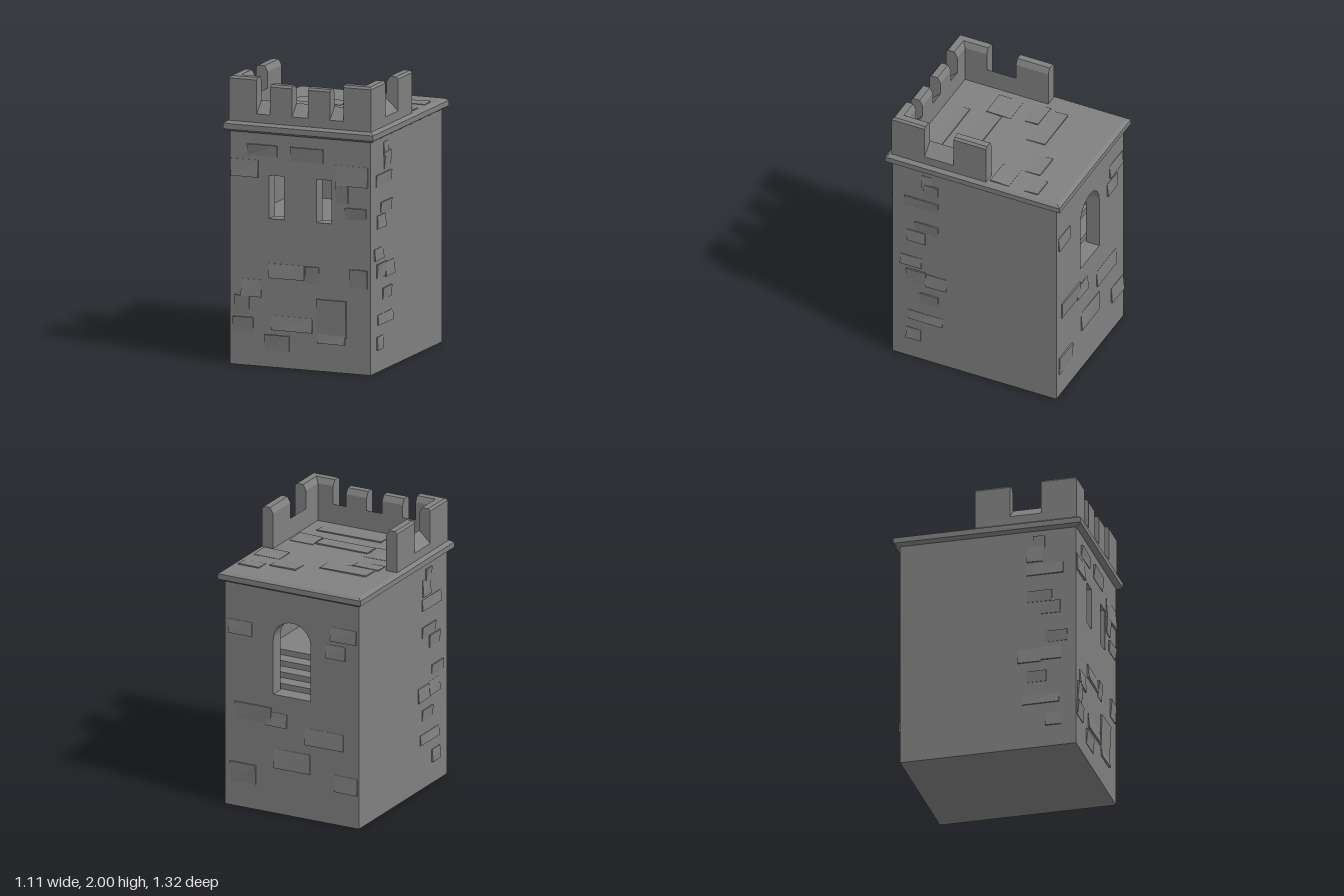
import * as THREE from 'three';

const HX = 0.52, HZ = 0.62, WALL = 0.1, TOP = 1.63;

export function createModel() {
  const tower = new THREE.Group();
  tower.name = 'tower';
  const stone = new THREE.MeshStandardMaterial({ color: 0x808080 });
  stone.name = 'greyStone';

  let seed = 7;
  const rand = () => (seed = (seed * 16807) % 2147483647) / 2147483647;

  const add = (parent, name, geo, x = 0, y = 0, z = 0) => {
    const m = new THREE.Mesh(geo, stone);
    m.name = name;
    m.position.set(x, y, z);
    parent.add(m);
    return m;
  };
  const box = (parent, name, w, h, d, x, y, z) => add(parent, name, new THREE.BoxGeometry(w, h, d), x, y, z);
  const side = (name, rx, ry) => {
    const g = new THREE.Group();
    g.name = name;
    g.rotation.set(rx, ry, 0);
    tower.add(g);
    return g;
  };
  const rectPath = (Type, x0, y0, x1, y1) => {
    const p = new Type();
    p.moveTo(x0, y0);
    p.lineTo(x1, y0);
    p.lineTo(x1, y1);
    p.lineTo(x0, y1);
    p.closePath();
    return p;
  };

  // Rough stones: shallow blocks whose outer corners stand out unevenly
  const addStones = (parent, list, surface, depth = 0.016) => {
    for (const [u, v, w, h] of list) {
      const geo = new THREE.BoxGeometry(w, h, 0.02).toNonIndexed();
      const p = geo.attributes.position;
      const out = [0, 1, 2, 3].map(() => 0.001 + rand() * 0.004);
      const edge = Math.floor(rand() * 4);
      out[edge] = depth;
      out[edge ^ 1] = depth * 0.7;
      for (let i = 0; i < p.count; i++) {
        const c = (p.getX(i) > 0 ? 1 : 0) + (p.getY(i) > 0 ? 2 : 0);
        p.setZ(i, p.getZ(i) > 0 ? out[c] : -0.02);
      }
      geo.computeVertexNormals();
      add(parent, 'roughStone', geo, u, v, surface);
    }
  };

  // Front wall with two slits
  const front = side('frontWall', 0, 0);
  const frontShape = rectPath(THREE.Shape, -HX, 0, HX, TOP);
  frontShape.holes.push(rectPath(THREE.Path, -0.23, 1.03, -0.12, 1.33));
  frontShape.holes.push(rectPath(THREE.Path, 0.12, 1.03, 0.23, 1.33));
  const panel = (shape) => new THREE.ExtrudeGeometry(shape, { depth: WALL, bevelEnabled: false, curveSegments: 10 });
  add(front, 'frontPanel', panel(frontShape), 0, 0, HZ - WALL);
  addStones(front, [
    [-0.28, 1.5, 0.22, 0.08], [0.05, 1.49, 0.24, 0.1], [-0.41, 1.37, 0.2, 0.12], [0.38, 1.37, 0.24, 0.14],
    [0.31, 1.24, 0.09, 0.12], [0.41, 1.11, 0.16, 0.08], [-0.1, 0.67, 0.26, 0.1], [0.09, 0.66, 0.1, 0.12],
    [0.43, 0.66, 0.13, 0.13], [-0.36, 0.54, 0.15, 0.12], [-0.43, 0.42, 0.11, 0.13], [-0.06, 0.31, 0.3, 0.1],
    [0.23, 0.37, 0.22, 0.26], [-0.17, 0.17, 0.18, 0.11], [-0.42, 0.28, 0.15, 0.11], [0.23, 0.23, 0.2, 0.07],
  ], HZ);

  // Back wall with an arched window
  const back = side('backWall', 0, Math.PI);
  const backShape = rectPath(THREE.Shape, -HX, 0, HX, TOP);
  const arch = new THREE.Path();
  arch.moveTo(-0.145, 0.86);
  arch.lineTo(0.145, 0.86);
  arch.lineTo(0.145, 1.255);
  arch.absarc(0, 1.255, 0.145, 0, Math.PI, false);
  arch.closePath();
  backShape.holes.push(arch);
  add(back, 'backPanel', panel(backShape), 0, 0, HZ - WALL);
  addStones(back, [
    [0.4, 1.38, 0.2, 0.1], [0.34, 1.25, 0.15, 0.1], [-0.4, 1.3, 0.18, 0.1], [-0.3, 0.7, 0.28, 0.12],
    [0.25, 0.6, 0.3, 0.12], [0.42, 0.3, 0.18, 0.12], [-0.12, 0.68, 0.16, 0.1], [-0.38, 0.25, 0.2, 0.14],
    [0.0, 0.4, 0.28, 0.14],
  ], HZ, 0.013);

  // Side walls, roughened near the front corner
  const sideStones = [
    [0.36, 1.53, 0.08, 0.1], [0.33, 1.45, 0.11, 0.12], [0.4, 1.33, 0.26, 0.08], [0.36, 1.13, 0.18, 0.08],
    [0.44, 1.04, 0.14, 0.09], [0.48, 0.82, 0.16, 0.08], [0.44, 0.7, 0.15, 0.1], [0.29, 0.69, 0.16, 0.1],
    [0.34, 0.53, 0.14, 0.08], [0.37, 0.36, 0.26, 0.07], [0.46, 0.2, 0.11, 0.09],
  ];
  for (const s of [1, -1]) {
    const g = side(s > 0 ? 'leftWall' : 'rightWall', 0, s * Math.PI / 2);
    box(g, 'sidePanel', 2 * (HZ - WALL), TOP, WALL, 0, TOP / 2, HX - WALL / 2);
    addStones(g, sideStones.map(([z, y, w, h]) => [-s * z, y, w, h]), HX, 0.012);
  }

  // Interior: base, ceiling and steps rising from the window
  box(tower, 'baseBlock', 0.86, 0.86, 1.06, 0, 0.43, 0);
  box(tower, 'ceiling', 0.86, 0.12, 1.06, 0, 1.57, 0);
  for (let i = 0; i < 4; i++) {
    const z0 = -0.5 + i * 0.1;
    box(tower, 'step', 0.86, 0.04, 0.53 - z0, 0, 0.88 + i * 0.04, (z0 + 0.53) / 2);
  }

  // Chamfered cornice slab
  const cornice = new THREE.ExtrudeGeometry(rectPath(THREE.Shape, -0.53, -0.635, 0.53, 0.635), {
    depth: 0.038, bevelEnabled: true, bevelThickness: 0.016, bevelSize: 0.025, bevelSegments: 1,
  });
  cornice.rotateX(-Math.PI / 2);
  add(tower, 'cornice', cornice, 0, 1.636, 0);

  // Uneven paving on the roof (v runs towards the back)
  const roof = side('roofPaving', -Math.PI / 2, 0);
  addStones(roof, [
    [-0.2, 0.2, 0.36, 0.14], [0.2, 0.33, 0.2, 0.12], [0.4, 0.18, 0.2, 0.14], [-0.28, -0.16, 0.2, 0.18],
    [0.03, -0.19, 0.4, 0.12], [0.33, -0.18, 0.18, 0.15], [0.1, -0.41, 0.5, 0.1], [0.42, 0.42, 0.16, 0.1],
    [-0.3, 0.08, 0.2, 0.1],
  ], 1.69, 0.01);

  // Battlement pieces: a cross-section run along the wall, mitred at the corners
  const merlon = (top) => [[0, 1.68], [0.085, 1.68], [0.085, top - 0.04], [0.063, top], [0.015, top], [0, top - 0.015]];
  const crenel = [[0, 1.68], [0.085, 1.68], [0.085, 1.83], [0, 1.75]];
  const wallPiece = (parent, name, profile, a, b, corner) => {
    const shape = new THREE.Shape(profile.map(([x, y]) => new THREE.Vector2(x, y)));
    const geo = new THREE.ExtrudeGeometry(shape, { depth: b - a, bevelEnabled: false });
    geo.translate(0, 0, a);
    const p = geo.attributes.position;
    for (let i = 0; i < p.count; i++) {
      const t = p.getZ(i);
      if (Math.abs(t) > corner - 0.001) p.setZ(i, t - Math.sign(t) * p.getX(i));
    }
    geo.computeVertexNormals();
    add(parent, name, geo);
  };

  const PX = 0.525, PZ = 0.625;
  const frontParapet = side('frontParapet', 0, Math.PI / 2);
  frontParapet.position.z = PZ;
  wallPiece(frontParapet, 'crenel', crenel, -0.06, 0.06, PX);
  for (const s of [1, -1]) {
    const span = (parent, name, profile, a, b, corner, k) =>
      wallPiece(parent, name, profile, Math.min(k * a, k * b), Math.max(k * a, k * b), corner);
    span(frontParapet, 'cornerMerlon', merlon(2), 0.32, PX, PX, s);
    span(frontParapet, 'crenel', crenel, 0.22, 0.32, PX, s);
    span(frontParapet, 'merlon', merlon(1.96), 0.06, 0.22, PX, s);

    const g = side(s > 0 ? 'leftParapet' : 'rightParapet', 0, s > 0 ? Math.PI : 0);
    g.position.x = s * PX;
    span(g, 'cornerMerlon', merlon(2), 0.375, PZ, PZ, -s);
    span(g, 'crenel', crenel, 0.155, 0.375, PZ, -s);
    span(g, 'merlon', merlon(1.985), -0.09, 0.155, PZ, -s);
  }
  return tower;
}
